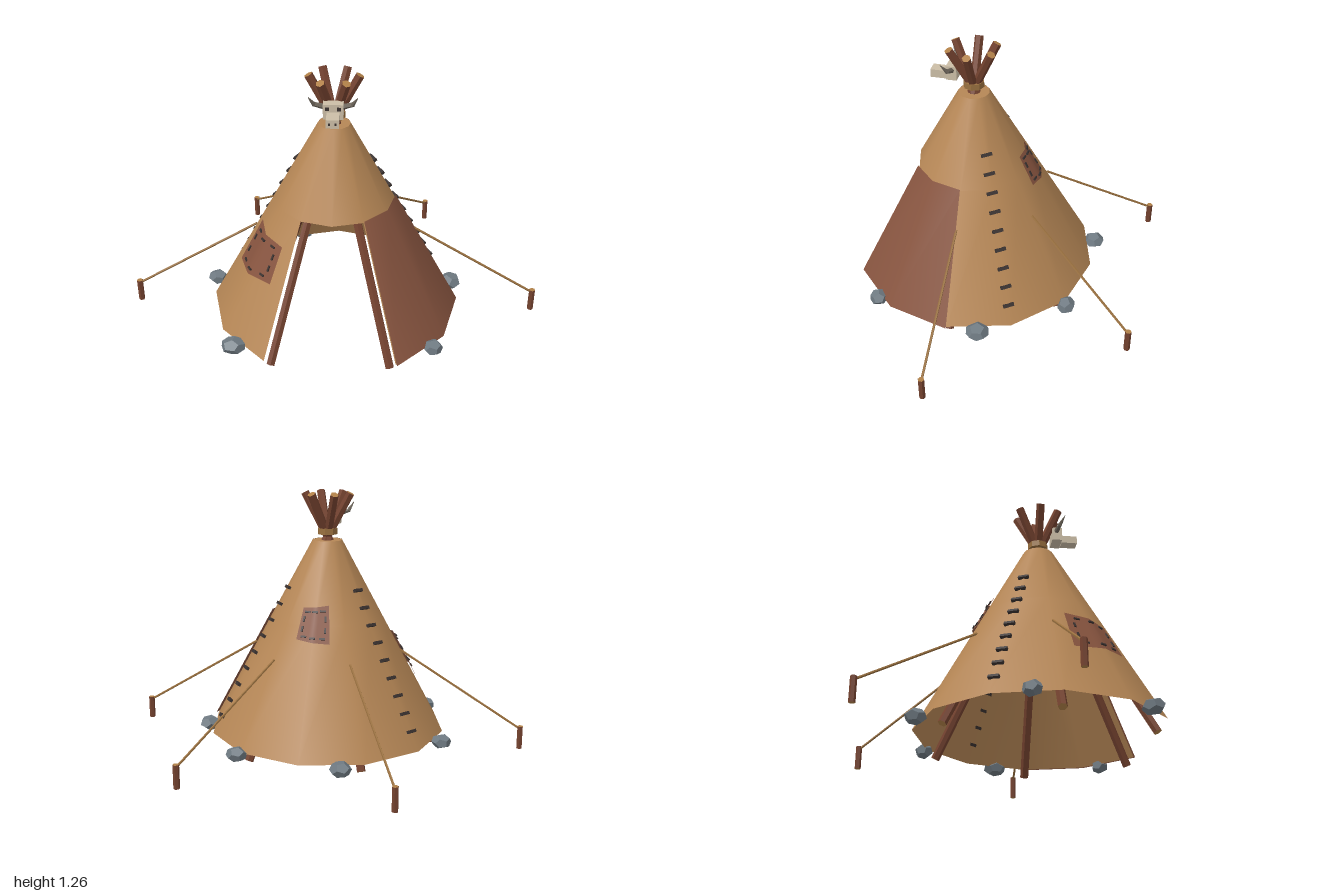
import * as THREE from 'three';

const mat = (name, color, extra = {}) => {
  const m = new THREE.MeshStandardMaterial({ color, ...extra });
  m.name = name;
  return m;
};

export function createModel() {
  const model = new THREE.Group();
  model.name = 'tent';
  const both = { side: THREE.DoubleSide }, flat = { flatShading: true };
  const canvas = mat('canvas', 0xb58655, both);
  const hide = mat('redHide', 0x87543f, both);
  const wood = mat('wood', 0x74422f, flat);
  const endGrain = mat('endGrain', 0xb08048, flat);
  const rope = mat('rope', 0x99703f, flat);
  const thread = mat('thread', 0x3a3230);
  const stone = mat('stone', 0x6f7a82, flat);
  const bone = mat('bone', 0xcbbda6, flat);
  const horn = mat('horn', 0x6f675c, flat);

  const V = (x, y, z) => new THREE.Vector3(x, y, z);
  const rad = THREE.MathUtils.degToRad;
  const CZ = 0.17, Y0 = 0.07, Y1 = 1.03, R0 = 0.6, R1 = 0.075;
  const slope = (R0 - R1) / (Y1 - Y0);
  const radiusAt = y => R0 - (y - Y0) * slope;

  const add = (name, geo, material, parent = model) => {
    const m = new THREE.Mesh(geo, material);
    m.name = name;
    parent.add(m);
    return m;
  };
  const group = name => {
    const g = new THREE.Group();
    g.name = name;
    model.add(g);
    return g;
  };

  // Point on the twelve-sided cone; angle in degrees from the front toward +x
  const onCone = (deg, y, off = 0) => {
    const local = ((deg % 30) + 30) % 30 - 15;
    const r = radiusAt(y) * Math.cos(rad(15)) / Math.cos(rad(local)) + off;
    return V(r * Math.sin(rad(deg)), y, CZ + r * Math.cos(rad(deg)));
  };

  // Rod between two points, with separately coloured ends
  const rod = (name, a, b, r, sides, parent, materials, rEnd = r) => {
    const m = add(name, new THREE.CylinderGeometry(rEnd, r, a.distanceTo(b), sides), materials, parent);
    m.position.copy(a).lerp(b, 0.5);
    m.quaternion.setFromUnitVectors(V(0, 1, 0), b.clone().sub(a).normalize());
    return m;
  };

  // Stitch lying on the cone, rolled within the surface
  const stitch = (deg, y, len, wide, thick, off, roll, parent) => {
    const t = V(Math.cos(rad(deg)), 0, -Math.sin(rad(deg)));
    const s = V(-slope * Math.sin(rad(deg)), 1, -slope * Math.cos(rad(deg))).normalize();
    const n = t.clone().cross(s);
    const m = add('stitch', new THREE.BoxGeometry(len, wide, thick), thread, parent);
    m.quaternion.setFromRotationMatrix(new THREE.Matrix4().makeBasis(t, s, n));
    m.rotateZ(roll);
    m.position.copy(onCone(deg, y, off));
  };

  // Cover: full upper cone, lower part open at the front, small closing disc
  const YO = 0.65;
  const coneBand = (name, ya, yb, segs, start, len, material, off = 0) => {
    const m = add(name, new THREE.CylinderGeometry(radiusAt(yb) + off, radiusAt(ya) + off,
      yb - ya, segs, 1, true, rad(start), rad(len)), material);
    m.position.set(0, (ya + yb) / 2, CZ);
    return m;
  };
  coneBand('upperCover', YO, Y1, 12, 0, 360, canvas);
  coneBand('lowerCover', Y0, YO, 10, 30, 300, canvas);
  const cap = add('coverTop', new THREE.CircleGeometry(R1, 12), canvas);
  cap.rotation.x = -Math.PI / 2;
  cap.position.set(0, Y1 - 0.001, CZ);

  // Door flap folded back beside the opening
  coneBand('doorFlap', Y0, 0.66, 2, 30, 60, hide, 0.012);

  // Six crossing poles and their lashing
  const poles = group('poles');
  for (let i = 0; i < 6; i++) {
    const a = rad(30 + i * 60), s = Math.sin(a), c = Math.cos(a);
    rod('pole', V(0.55 * s, 0.015, CZ + 0.55 * c), V(-0.115 * s, 1.262, CZ - 0.115 * c),
      0.021, 6, poles, [wood, endGrain, endGrain]);
  }
  const lashing = add('lashing', new THREE.CylinderGeometry(0.05, 0.05, 0.03, 8), rope);
  lashing.position.set(0, 1.073, CZ);

  // Guy ropes and stakes
  const guys = group('guyRopes');
  for (const deg of [90, 150, 210, 270]) {
    const s = Math.sin(rad(deg)), c = Math.cos(rad(deg));
    const at = (r, y) => V(r * s, y, CZ + r * c);
    rod('guyRope', at(0.375, 0.485), at(0.985, 0.115), 0.006, 5, guys, rope);
    rod('stake', at(0.985, 0.015), at(0.985, 0.13), 0.015, 6, guys, [wood, endGrain, endGrain]);
  }

  // Seam stitches down both rear sides
  const seams = group('seamStitches');
  for (const side of [-1, 1])
    for (let i = 0; i < 9; i++)
      stitch(side * 120, 0.8 - i * 0.08, 0.052, 0.015, 0.016, 0.004, side * 0.08, seams);

  // Sewn patches: left and right edges given as [angle, low y, high y]
  const patch = (name, [a0, l0, h0], [a1, l1, h1]) => {
    const g = group(name);
    const mix = THREE.MathUtils.lerp;
    const spot = (u, v) => [mix(a0, a1, u), mix(mix(l0, l1, u), mix(h0, h1, u), v)];
    const geo = new THREE.PlaneGeometry(1, 1, 8, 2), p = geo.attributes.position;
    for (let i = 0; i < p.count; i++) {
      const q = onCone(...spot(p.getX(i) + 0.5, p.getY(i) + 0.5), 0.012);
      p.setXYZ(i, q.x, q.y, q.z);
    }
    geo.computeVertexNormals();
    add('patchHide', geo, hide, g);
    for (const e of [0.13, 0.87]) {
      for (const u of [0.22, 0.5, 0.78]) stitch(...spot(u, e), 0.028, 0.009, 0.008, 0.014, 0, g);
      for (const v of [0.35, 0.65]) stitch(...spot(e, v), 0.028, 0.009, 0.008, 0.014, Math.PI / 2, g);
    }
  };
  patch('sidePatch', [-80, 0.335, 0.545], [-40, 0.365, 0.525]);
  patch('backPatch', [165, 0.59, 0.73], [195, 0.575, 0.745]);

  // Stones holding down the hem: x, z, width, depth, turn
  const stones = group('stones');
  [[-0.2, -0.42, 0.1, 0.1, 0.4], [0.32, -0.36, 0.1, 0.085, 1.1], [0.59, 0.02, 0.105, 0.11, 2],
    [-0.61, -0.035 + 0.07, 0.095, 0.085, 0.8], [-0.455, 0.58, 0.115, 0.1, 0.7], [0.475, 0.555, 0.09, 0.085, 1.6]]
    .forEach(([x, z, w, d, turn], i) => {
      const geo = new THREE.DodecahedronGeometry(0.5, 0);
      geo.rotateX(turn * 2).rotateY(turn * 3 + i).scale(w * 1.05, 0.075, d * 1.05);
      add('stone', geo, stone, stones).position.set(x, 0.067, z);
    });

  // Horned skull hung in front of the pole tops
  const skull = group('skull');
  const box = (name, w, h, d, x, y, z, m) =>
    add(name, new THREE.BoxGeometry(w, h, d), m, skull).position.set(x, y, z);
  box('cranium', 0.09, 0.07, 0.05, 0, 1.135, 0.265, bone);
  box('snout', 0.056, 0.04, 0.08, 0, 1.115, 0.33, bone);
  for (const s of [-1, 1]) {
    box('eyeSocket', 0.018, 0.016, 0.004, s * 0.026, 1.15, 0.291, thread);
    box('nostril', 0.01, 0.01, 0.004, s * 0.014, 1.115, 0.371, thread);
    rod('hornBase', V(s * 0.04, 1.15, 0.262), V(s * 0.085, 1.165, 0.272), 0.013, 6, skull, horn, 0.01);
    rod('hornTip', V(s * 0.083, 1.162, 0.271), V(s * 0.108, 1.208, 0.297), 0.011, 6, skull, horn, 0.001);
  }
  return model;
}
